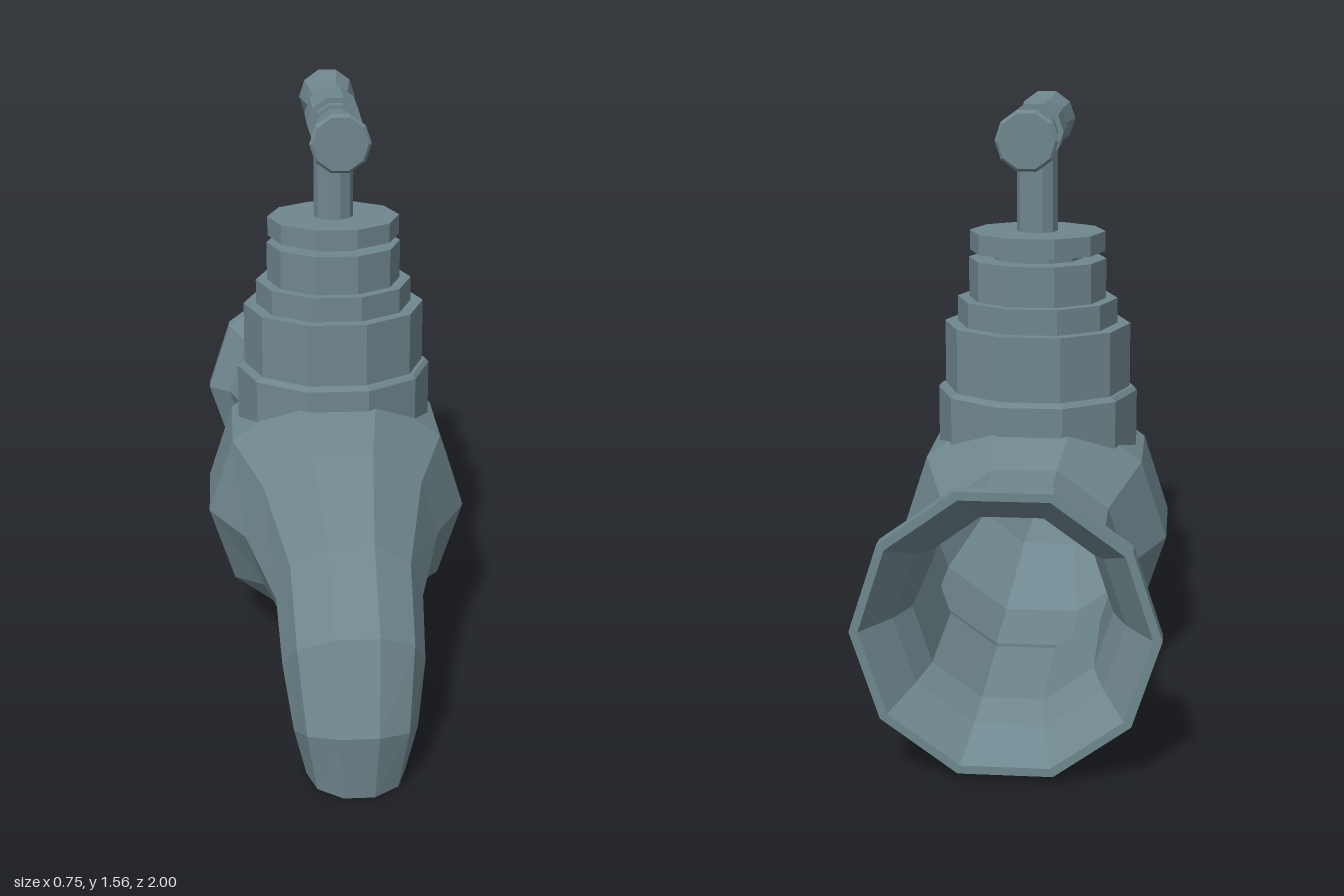
import * as THREE from 'three';

const SIDES = 10;
const SIN72 = Math.sin(Math.PI * 0.4);
const material = new THREE.MeshStandardMaterial({ color: 0x6f878e, flatShading: true });

function part(name, geometry) {
  const mesh = new THREE.Mesh(geometry, material);
  mesh.name = name;
  return mesh;
}

// Ten-sided turned part, with corners on the x axis
function turned(profile) {
  const points = profile.map(([r, y]) => new THREE.Vector2(r, y));
  return new THREE.LatheGeometry(points, SIDES, Math.PI / 2);
}

// Hollow pipe: outer skin from back to front, then inner skin on the way back
function pipeGeometry(stations, wall) {
  const section = ([topZ, topY, botZ, botY], inset) => {
    const top = new THREE.Vector3(0, topY, topZ);
    const bottom = new THREE.Vector3(0, botY, botZ);
    const up = top.clone().sub(bottom);
    const radius = up.length() / 2 / SIN72 - inset;
    up.normalize();
    const centre = top.add(bottom).multiplyScalar(0.5);
    return Array.from({ length: SIDES }, (_, j) => {
      const t = (j / SIDES) * Math.PI * 2;
      return centre.clone().addScaledVector(up, radius * Math.sin(t))
        .add(new THREE.Vector3(radius * Math.cos(t), 0, 0));
    });
  };
  const outer = stations.map((s) => section(s, 0));
  const inner = stations.filter((_, i) => i !== 1).map((s) => section(s, wall)).reverse();
  const rings = [...outer, ...inner];
  const positions = [];
  const indices = [];
  rings.forEach((ring, i) => {
    const next = (i + 1) % rings.length;
    ring.forEach((p, j) => {
      positions.push(p.x, p.y, p.z);
      const k = (j + 1) % SIDES;
      const a = i * SIDES + j, b = i * SIDES + k;
      const c = next * SIDES + k, d = next * SIDES + j;
      indices.push(a, b, c, a, c, d);
    });
  });
  const geometry = new THREE.BufferGeometry();
  geometry.setAttribute('position', new THREE.Float32BufferAttribute(positions, 3));
  geometry.setIndex(indices);
  geometry.computeVertexNormals();
  return geometry;
}

export function createModel() {
  const tap = new THREE.Group();
  tap.name = 'tap';

  // Body from wall flange to spout: top z, top y, bottom z, bottom y
  tap.add(part('body', pipeGeometry([
    [-1, 0.73, -1, 0.02],
    [-0.955, 0.73, -0.955, 0.02],
    [-0.9, 0.665, -0.9, 0.085],
    [-0.81, 0.63, -0.81, 0.115],
    [-0.475, 0.63, -0.475, 0.115],
    [-0.22, 0.72, -0.22, 0.02],
    [0.05, 0.72, 0.05, 0.02],
    [0.33, 0.655, 0.28, 0.15],
    [0.67, 0.545, 0.565, 0.195],
    [0.9, 0.4, 0.665, 0.145],
    [1, 0.18, 0.72, 0.075],
    [0.98, 0, 0.74, 0],
  ], 0.022)));

  // Stepped bonnet, slightly narrower from front to back
  const bonnet = part('bonnet', turned([
    [0, 0.6], [0.278, 0.6], [0.278, 0.76], [0.268, 0.772], [0.258, 0.772],
    [0.258, 0.95], [0.222, 0.95], [0.222, 1.02], [0.19, 1.02], [0.19, 1.13],
    [0.125, 1.13], [0.125, 1.15], [0.187, 1.15], [0.187, 1.205], [0, 1.205],
  ]));
  bonnet.position.z = -0.1;
  bonnet.scale.z = 0.89;
  tap.add(bonnet);

  // Stem
  const stem = part('stem', turned([[0, 1.19], [0.056, 1.19], [0.056, 1.45], [0, 1.45]]));
  stem.position.z = -0.1;
  stem.scale.z = 0.92;
  tap.add(stem);

  // Cross handle: half profile mirrored about the hub
  const half = [
    [0, 0.322], [0.074, 0.322], [0.082, 0.314], [0.053, 0.11],
    [0.062, 0.11], [0.062, 0.078], [0.077, 0.078],
  ];
  const profile = [...half.map(([r, y]) => [r, -y]), ...half.slice().reverse()];
  const handle = part('handle', turned(profile).rotateX(Math.PI / 2));
  handle.position.set(0, 1.482, -0.1);
  tap.add(handle);

  return tap;
}
